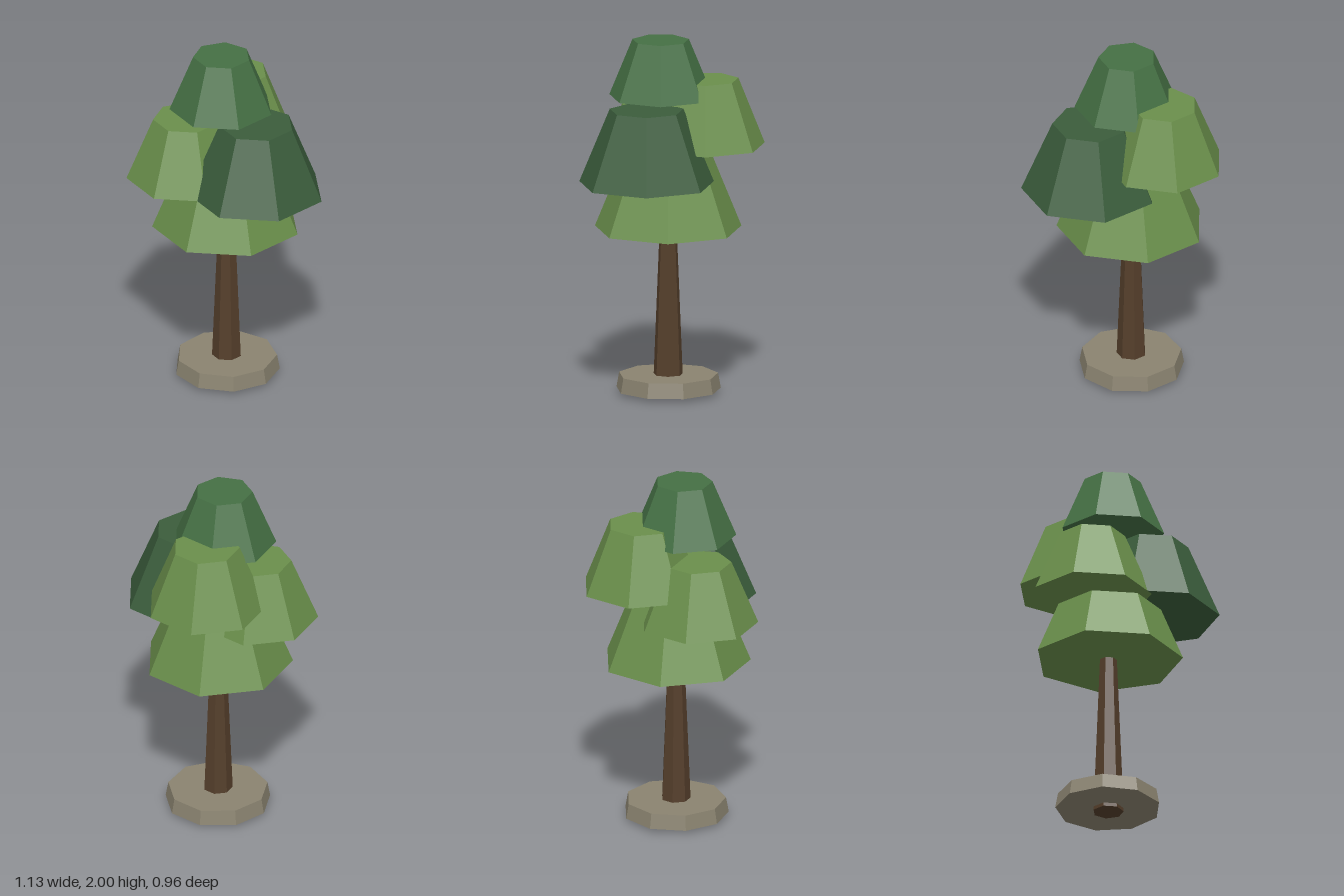
import * as THREE from 'three';

export function createModel() {
  const tree = new THREE.Group();
  tree.name = 'tree';

  const mat = (name, color) => {
    const m = new THREE.MeshStandardMaterial({ color, flatShading: true });
    m.name = name;
    return m;
  };
  const lightLeaf = mat('light leaf green', 0x6a8f4b);
  const midLeaf = mat('mid leaf green', 0x457044);
  const darkLeaf = mat('dark leaf green', 0x3b5d3c);
  const bark = mat('bark brown', 0x553f2b);
  const stone = mat('stone grey', 0x8a8370);

  // Tapered faceted drum standing between heights y0 and y1
  function drum(name, material, sides, x, z, y0, y1, rBottom, rTop) {
    const mesh = new THREE.Mesh(
      new THREE.CylinderGeometry(rTop, rBottom, y1 - y0, sides), material);
    mesh.position.set(x, (y0 + y1) / 2, z);
    mesh.name = name;
    tree.add(mesh);
  }

  // Stone base and trunk
  drum('stoneBase', stone, 9, -0.05, 0.017, 0.02, 0.105, 0.295, 0.28);
  drum('trunk', bark, 7, -0.05, 0.017, 0, 1.1, 0.087, 0.042);

  // Overlapping foliage tiers
  drum('lowerFoliage', lightLeaf, 7, -0.05, 0.017, 0.93, 1.39, 0.418, 0.23);
  drum('rightFoliage', lightLeaf, 7, -0.24, 0.138, 1.23, 1.59, 0.335, 0.186);
  drum('leftFoliage', darkLeaf, 7, 0.19, 0.085, 1.23, 1.65, 0.384, 0.21);
  drum('backFoliage', lightLeaf, 7, -0.127, -0.178, 1.4, 1.775, 0.338, 0.188);
  drum('topFoliage', midLeaf, 7, -0.055, 0.061, 1.68, 2, 0.293, 0.161);

  return tree;
}
